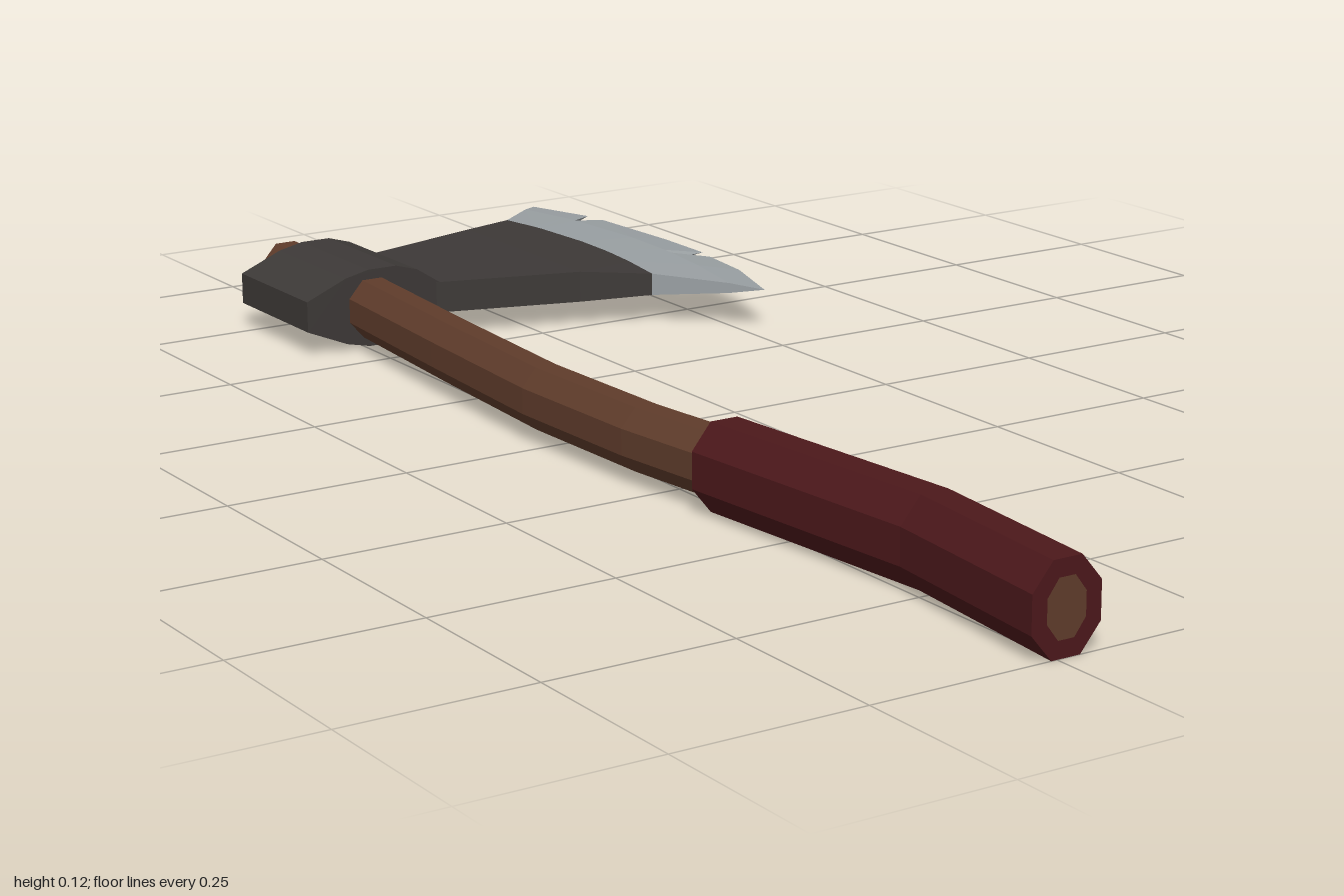
import * as THREE from 'three';

const CY = 0.058; // height of the plane of symmetry

// Skin closed cross-section loops (counter-clockwise seen from +z, ordered by rising z).
function loft(rows) {
  const pos = [];
  for (let r = 0; r < rows.length - 1; r++) {
    const a = rows[r], b = rows[r + 1], n = a.length;
    for (let i = 0; i < n; i++) {
      const j = (i + 1) % n;
      pos.push(...a[i], ...a[j], ...b[j], ...a[i], ...b[j], ...b[i]);
    }
  }
  const geo = new THREE.BufferGeometry();
  geo.setAttribute('position', new THREE.Float32BufferAttribute(pos, 3));
  geo.computeVertexNormals();
  return geo;
}

// Octagon with flat top and sides; rx and ry are half width and half height.
function octagon(x, z, rx, ry) {
  const k = 1 / Math.cos(Math.PI / 8);
  return Array.from({ length: 8 }, (_, i) => {
    const a = (i + 0.5) * Math.PI / 4;
    return [x + rx * k * Math.cos(a), CY + ry * k * Math.sin(a), z];
  });
}

// Mirror a lower outline [x, halfThickness, z] (left to right) into a closed loop.
function mirrorLoop(pts) {
  const low = pts.map(([x, h, z]) => [x, CY - h, z]);
  const high = pts.map(([x, h, z]) => [x, CY + h, z]).reverse();
  return [...low, ...high];
}

// Close both ends by flattening the first and last outline onto the middle plane.
function blade(outlines) {
  const flat = o => o.map(([x, , z]) => [x, 0, z]);
  const all = [flat(outlines[0]), ...outlines, flat(outlines[outlines.length - 1])];
  return loft(all.map(mirrorLoop));
}

export function createModel() {
  const group = new THREE.Group();
  const add = (name, geometry, color) => {
    const material = new THREE.MeshStandardMaterial({ color, flatShading: true });
    const mesh = new THREE.Mesh(geometry, material);
    mesh.name = name;
    group.add(mesh);
  };

  // Curved wooden handle: centre x, z, half width, half height
  add('handle', loft([
    [-0.239, -0.84, 0, 0],
    [-0.239, -0.84, 0.037, 0.042],
    [-0.239, -0.57, 0.037, 0.042],
    [-0.259, -0.3, 0.036, 0.042],
    [-0.275, -0.03, 0.036, 0.042],
    [-0.268, 0.2, 0.036, 0.042],
    [-0.25, 0.36, 0.036, 0.042],
    [-0.215, 0.73, 0.032, 0.04],
    [-0.238, 1, 0.027, 0.036],
    [-0.238, 1, 0, 0],
  ].map(s => octagon(...s))), 0x5f3c2b);

  // Wrapped grip sleeve with ring-shaped ends
  add('grip', loft([
    [-0.25, 0.35, 0.034, 0.04],
    [-0.25, 0.35, 0.047, 0.0575],
    [-0.215, 0.73, 0.048, 0.0575],
    [-0.238, 1, 0.048, 0.0575],
    [-0.238, 1, 0.027, 0.036],
  ].map(s => octagon(...s))), 0x4c181b);

  // Head socket swelling around the handle
  const half = [[-0.343, 0.022], [-0.281, 0.048], [-0.245, 0.056],
    [-0.2, 0.056], [-0.166, 0.046], [-0.13, 0.0225]];
  const profile = new THREE.Shape([
    ...half.map(([x, h]) => new THREE.Vector2(x, CY - h)),
    ...half.map(([x, h]) => new THREE.Vector2(x, CY + h)).reverse(),
  ]);
  const socket = new THREE.ExtrudeGeometry(profile, { depth: 0.205, bevelEnabled: false });
  socket.translate(0, 0, -0.775);
  add('headSocket', socket, 0x3d3937);

  // Cutting edge outline [x, z], with two notches
  const edge = [[0.283, -1], [0.32, -0.895], [0.272, -0.862], [0.325, -0.86],
    [0.336, -0.69], [0.336, -0.59], [0.278, -0.582], [0.33, -0.56],
    [0.32, -0.466], [0.283, -0.345]];
  const MID = -0.6725;
  const span = z => (z - MID) / 0.3275;

  // Flaring blade body
  const boundary = s => [0.18 - 0.015 * s * s, 0.019 - 0.003 * s * s, MID + 0.209 * s];
  add('bladeBody', blade(edge.map(([, z]) => {
    const s = span(z);
    return [[-0.135, 0.0225, MID + 0.1025 * s], [0.07, 0.0225, MID + 0.163 * s], boundary(s)];
  })), 0x3d3937);

  // Bright sharpened edge
  add('bladeEdge', blade(edge.map(([x, z]) => {
    const s = span(z);
    const ridge = [0.272 - 0.026 * s * s, 0.0125 - 0.005 * s * s, MID + 0.29 * s];
    return [boundary(s), ridge, [x, 0, z]];
  })), 0x9aa0a3);

  return group;
}
